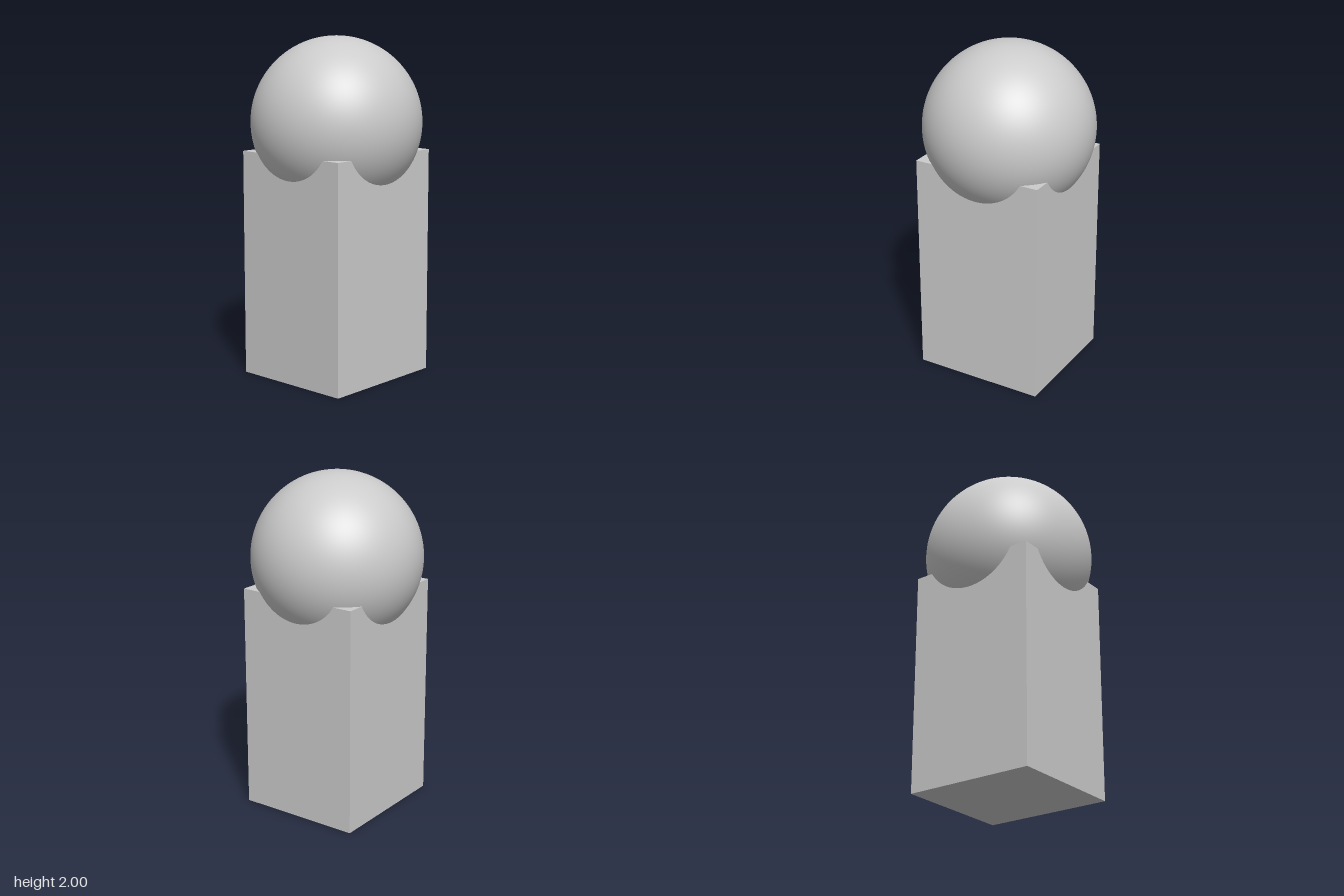
import * as THREE from 'three';

export function createModel() {
  const model = new THREE.Group();
  const material = new THREE.MeshStandardMaterial({ color: 0xcccccc });

  // Rectangular pillar standing on the ground
  const height = 1.335;
  const pillar = new THREE.Mesh(new THREE.BoxGeometry(0.748, height, 0.79), material);
  pillar.name = 'pillar';
  pillar.position.y = height / 2;

  // Smooth ball sunk into the pillar's top, bulging through its four sides
  const radius = 0.5;
  const ball = new THREE.Mesh(new THREE.SphereGeometry(radius, 96, 64), material);
  ball.name = 'ball';
  ball.position.y = 2 - radius;

  model.add(pillar, ball);
  return model;
}
